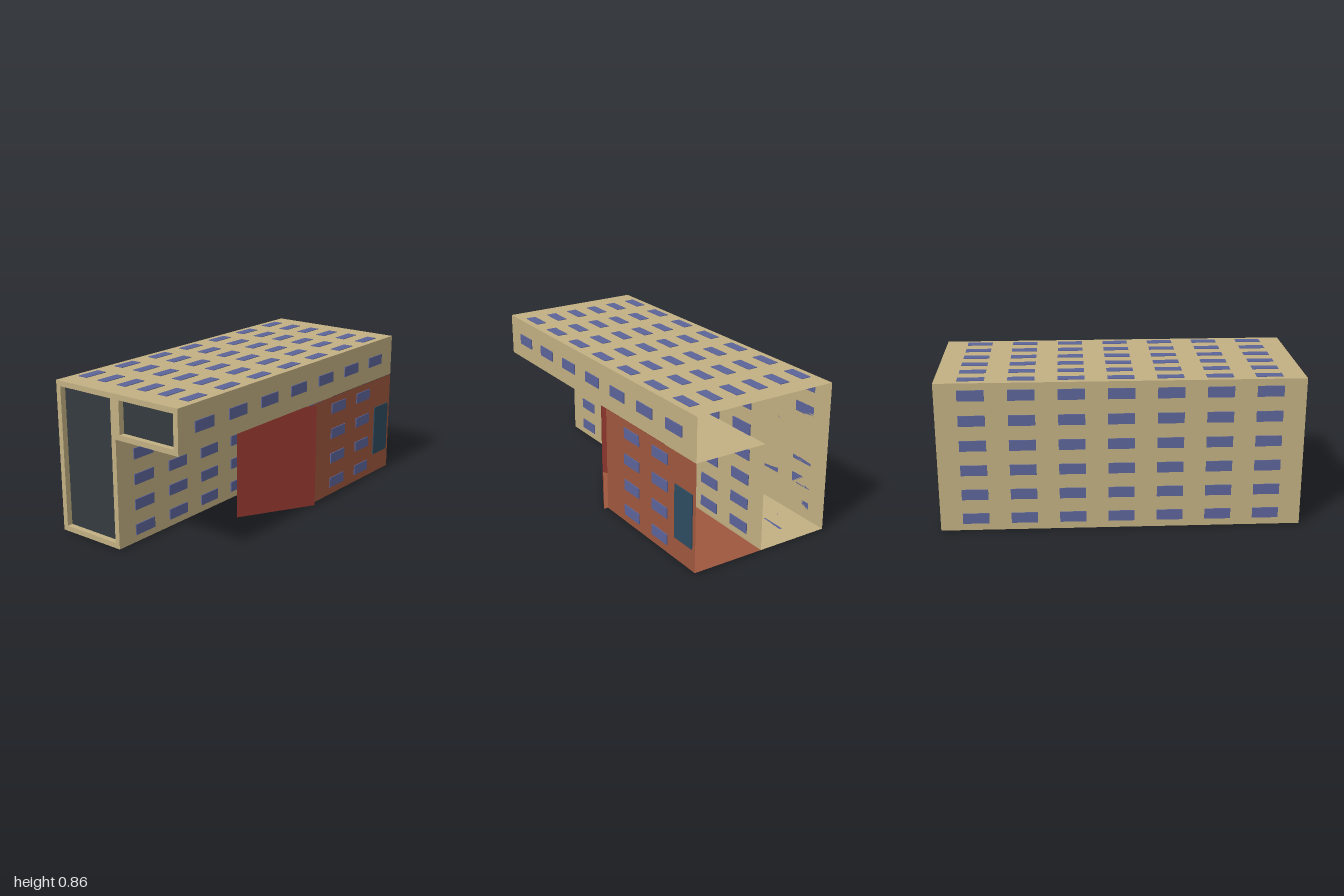
import * as THREE from 'three';

const mat = (color) => new THREE.MeshStandardMaterial({ color, side: THREE.DoubleSide, flatShading: true });

export function createModel() {
  const group = new THREE.Group();
  const beige = mat(0xc2b083), brick = mat(0x9f573e), red = mat(0x8b352c);
  const blue = mat(0x5c6499), dark = mat(0x353b3f), teal = mat(0x2e4c60);

  const add = (name, geometry, material, parent = group) => {
    const mesh = new THREE.Mesh(geometry, material);
    mesh.name = name;
    parent.add(mesh);
    return mesh;
  };
  // Flat four-cornered sheet
  const quad = (name, a, b, c, d, material) => {
    const g = new THREE.BufferGeometry();
    g.setAttribute('position', new THREE.Float32BufferAttribute([...a, ...b, ...c, ...d], 3));
    g.setIndex([0, 1, 2, 0, 2, 3]);
    g.computeVertexNormals();
    return add(name, g, material);
  };
  // Upright wall parallel to z, and level sheet
  const sideWall = (name, x, y0, y1, z0, z1, m) =>
    quad(name, [x, y0, z1], [x, y0, z0], [x, y1, z0], [x, y1, z1], m);
  const level = (name, y, x0, x1, m) =>
    quad(name, [x0, y, 1], [x1, y, 1], [x1, y, -1], [x0, y, -1], m);

  const L = -0.438, M = -0.012, R = 0.413;      // left, middle and right walls
  const bottom = 0.006, mid = 0.615, top = 0.858, t = 0.006;

  // Tall block and overhanging upper block, open at the back
  sideWall('outerWall', L, bottom, top, -1, 1, beige);
  sideWall('middleWall', M, bottom, top, -1, 1, beige);
  sideWall('upperWall', R, mid, top, -1, 1, beige);
  level('roof', top, L, R, beige);
  level('tallBlockFloor', bottom, L, M, beige);
  level('upperBlockFloor', mid, M, R, beige);

  // Front frames with recessed dark panes
  const depth = 0.035, rim = 0.03;
  for (const [name, x0, x1, y0] of [['tall', L, M, bottom], ['upper', M, R, mid]]) {
    const rect = (P, a, b, c, d) => new P([[a, c], [b, c], [b, d], [a, d]].map((p) => new THREE.Vector2(...p)));
    const shape = rect(THREE.Shape, x0, x1, y0, top);
    shape.holes.push(rect(THREE.Path, x0 + rim, x1 - rim, y0 + rim, top - rim));
    const frame = new THREE.ExtrudeGeometry(shape, { depth, bevelEnabled: false });
    add(name + 'FrontFrame', frame.translate(0, 0, 1 - depth), beige);
    const pane = new THREE.PlaneGeometry(x1 - x0 - rim, top - y0 - rim);
    add(name + 'FrontPane', pane, dark).position.set((x0 + x1) / 2, (y0 + top) / 2, 1 - depth + 0.002);
  }

  // Windows: thin plates lying just outside each wall
  const windows = new THREE.Group();
  windows.name = 'windows';
  group.add(windows);
  const size = 0.06, length = 0.145;
  const wallWindow = (x, y, z, out) =>
    add('window', new THREE.BoxGeometry(t, size, length), blue, windows).position.set(x + out * t / 2, y, z);
  const flatWindow = (x, y, z) =>
    add('window', new THREE.BoxGeometry(size, t, length), blue, windows).position.set(x, y, z);
  for (let i = -3; i <= 3; i++) {
    const z = i * 0.268;
    for (let row = 0; row < 6; row++) {
      const y = 0.077 + row * 0.1425;
      wallWindow(L, y, z, -1);
      wallWindow(M, y, z, 1);
    }
    wallWindow(R, 0.737, z, 1);
    for (let col = 0; col < 6; col++) {
      const x = -0.37 + col * 0.1425;
      flatWindow(x, top + t / 2 - 0.003, z);
      if (col < 3) flatWindow(x, bottom - t / 2, z);
    }
  }

  // Lower side room: wall, windows and door
  const roomTop = mid - 0.002;
  sideWall('roomWall', R, bottom, roomTop, -1, -0.145, brick);
  for (const z of [-0.41, -0.68])
    for (let row = 0; row < 4; row++) wallWindow(R, 0.082 + row * 0.153, z, 1);
  add('door', new THREE.BoxGeometry(t, 0.305, 0.155), teal).position.set(R + t / 2, 0.283, -0.897);

  // Pointed front of the side room
  const prow = [[M, -0.09], [0.2, 0.28], [0.44, -0.145]];
  for (let i = 0; i < 2; i++) {
    const [a, b] = [prow[i], prow[i + 1]];
    quad('prowWall', [a[0], bottom, a[1]], [b[0], bottom, b[1]],
      [b[0], roomTop, b[1]], [a[0], roomTop, a[1]], red);
  }

  // Floor under the room and its prow
  const outline = [[M, -1], [R, -1], [R, -0.145], ...[...prow].reverse()];
  const floor = new THREE.ShapeGeometry(new THREE.Shape(outline.map(([x, z]) => new THREE.Vector2(x, z))));
  add('roomFloor', floor.rotateX(Math.PI / 2).translate(0, bottom, 0), brick);

  return group;
}
